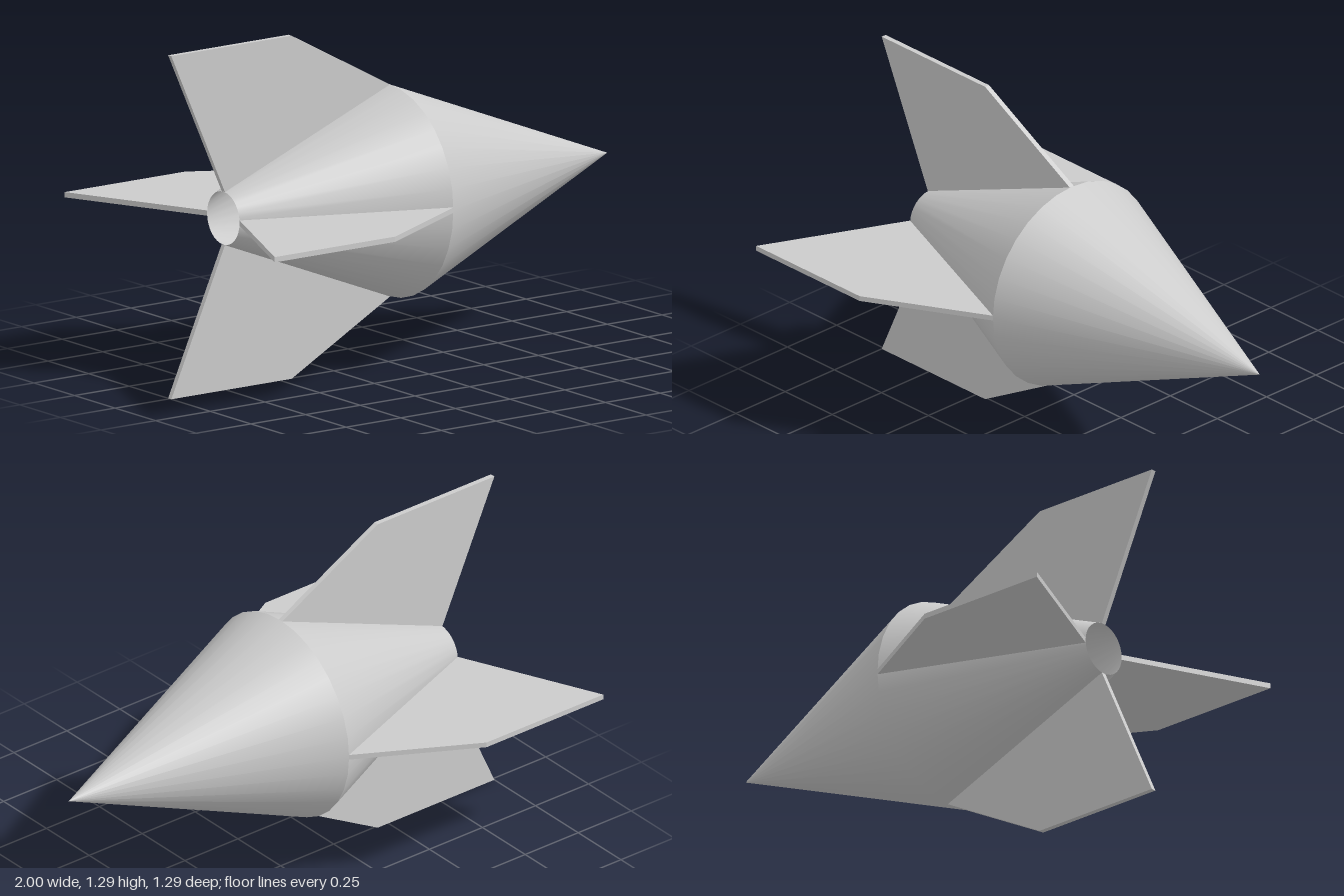
import * as THREE from 'three';

const AXIS_Y = 0.648; // height of the body's axis
const SIDES = 32;
const FIN_THICKNESS = 0.02;

export function createModel() {
  const model = new THREE.Group();
  model.name = 'dart';
  const material = new THREE.MeshStandardMaterial({ color: 0xcccccc });
  const shell = new THREE.MeshStandardMaterial({ color: 0xcccccc, side: THREE.DoubleSide });

  // Tapered body section along x, from the rear to the front
  const addSection = (name, rearX, rearR, frontX, frontR) => {
    const geometry = new THREE.CylinderGeometry(frontR, rearR, frontX - rearX, SIDES, 1, true);
    geometry.rotateZ(-Math.PI / 2);
    geometry.translate((rearX + frontX) / 2, AXIS_Y, 0);
    const mesh = new THREE.Mesh(geometry, shell);
    mesh.name = name;
    model.add(mesh);
  };
  addSection('noseCone', 0, 0.4, 1, 0);
  addSection('tailCone', -0.755, 0.1, 0, 0.4); // open at the rear

  // Four swept fins, their roots lying along the tail cone
  const outline = new THREE.Shape([
    new THREE.Vector2(0, 0.4),
    new THREE.Vector2(-0.45, 0.647),
    new THREE.Vector2(-1, 0.647),
    new THREE.Vector2(-0.755, 0.1),
  ]);
  const finGeometry = new THREE.ExtrudeGeometry(outline, { depth: FIN_THICKNESS, bevelEnabled: false });
  finGeometry.translate(0, 0, -FIN_THICKNESS / 2);
  ['topFin', 'frontFin', 'bottomFin', 'backFin'].forEach((name, i) => {
    const fin = new THREE.Mesh(finGeometry, material);
    fin.name = name;
    fin.position.y = AXIS_Y;
    fin.rotation.x = i * Math.PI / 2;
    model.add(fin);
  });

  return model;
}
